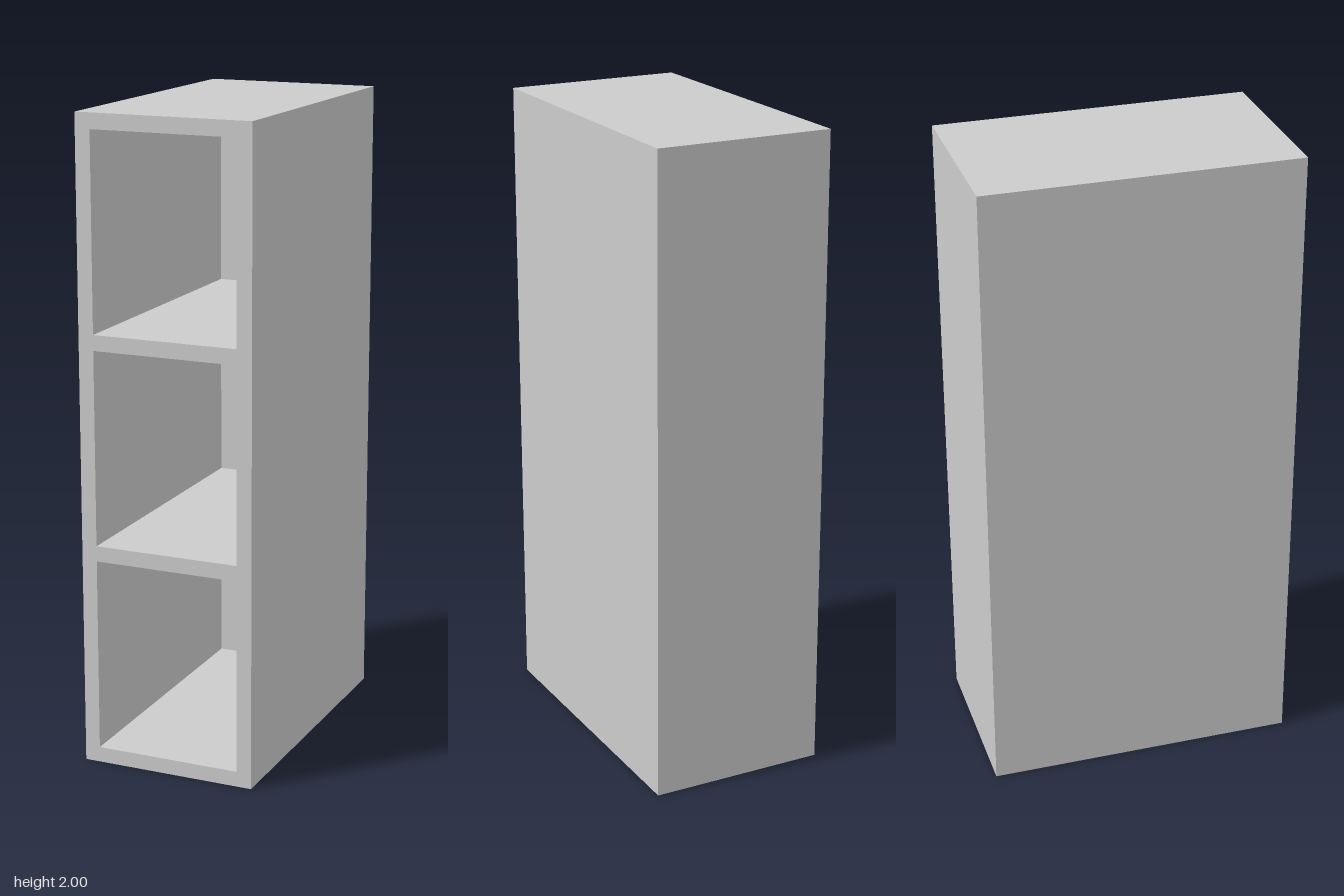
import * as THREE from 'three';

const W = 0.555, H = 2, D = 0.972; // outer size
const T = 0.048;                   // board thickness
const BAYS = 3;

export function createModel() {
  const group = new THREE.Group();
  group.name = 'shelfUnit';
  const material = new THREE.MeshStandardMaterial({ color: 0xcccccc, flatShading: true });

  const rect = (target, x0, y0, x1, y1) =>
    target.moveTo(x0, y0).lineTo(x1, y0).lineTo(x1, y1).lineTo(x0, y1).closePath();

  // Carcass: sides, top, base and shelves as one frame with a hole per bay
  const outline = new THREE.Shape();
  rect(outline, -W / 2, 0, W / 2, H);
  const bayHeight = (H - T * (BAYS + 1)) / BAYS;
  for (let i = 0; i < BAYS; i++) {
    const y = T + i * (bayHeight + T);
    const hole = new THREE.Path();
    rect(hole, -W / 2 + T, y, W / 2 - T, y + bayHeight);
    outline.holes.push(hole);
  }
  const frame = new THREE.Mesh(
    new THREE.ExtrudeGeometry(outline, { depth: D - T, bevelEnabled: false }), material);
  frame.name = 'shelfFrame';
  frame.position.z = -D / 2 + T;
  group.add(frame);

  // Closed back
  const back = new THREE.Mesh(new THREE.BoxGeometry(W, H, T), material);
  back.name = 'backPanel';
  back.position.set(0, H / 2, -D / 2 + T / 2);
  group.add(back);

  return group;
}
